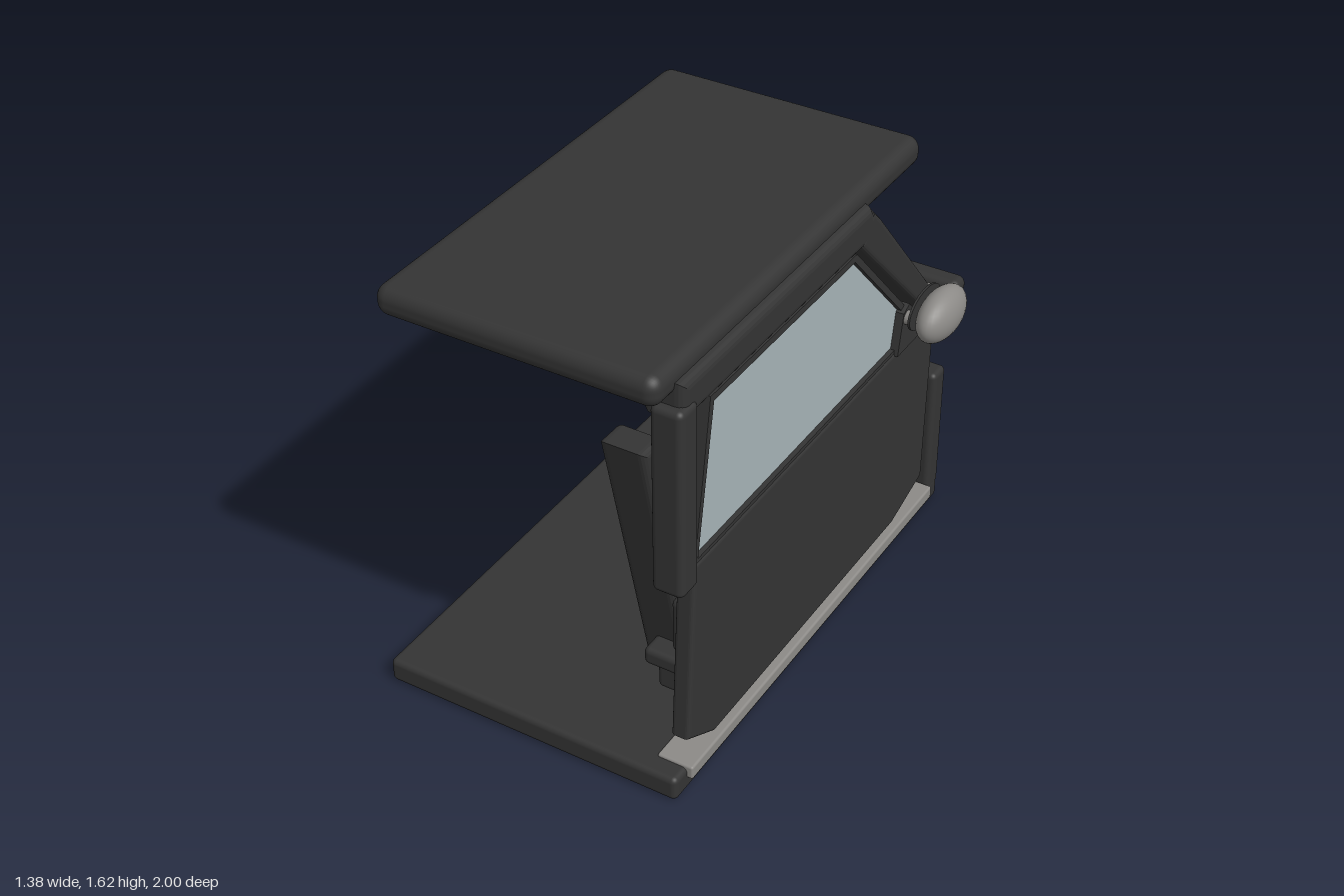
import * as THREE from 'three';
import { RoundedBoxGeometry } from 'three/addons/geometries/RoundedBoxGeometry.js';

const material = (name, color) => {
  const m = new THREE.MeshStandardMaterial({ color });
  m.name = name;
  return m;
};

export function createModel() {
  const model = new THREE.Group();
  const dark = material('dark plastic', 0x343434);
  const grey = material('grey trim', 0x8c8a87);
  const glass = material('window glass', 0xa6b3b7);
  glass.side = THREE.DoubleSide;

  const add = (name, geometry, mat) => {
    const mesh = new THREE.Mesh(geometry, mat);
    mesh.name = name;
    model.add(mesh);
    return mesh;
  };

  // Rounded box given by its limits on each axis
  const box = (name, mat, [x0, x1], [y0, y1], [z0, z1], r = 0.02) => {
    const w = x1 - x0, h = y1 - y0, d = z1 - z0;
    const mesh = add(name, new RoundedBoxGeometry(w, h, d, 4, Math.min(r, w / 2.01, h / 2.01, d / 2.01)), mat);
    mesh.position.set((x0 + x1) / 2, (y0 + y1) / 2, (z0 + z1) / 2);
    return mesh;
  };

  const toShape = (points) => new THREE.Shape(points.map(([a, b]) => new THREE.Vector2(a, b)));

  const extrude = (shape, width, bevel) => new THREE.ExtrudeGeometry(shape, {
    depth: width - 2 * bevel, bevelEnabled: bevel > 0, bevelSize: bevel,
    bevelThickness: bevel, bevelOffset: -bevel, bevelSegments: 4, curveSegments: 32,
  }).translate(0, 0, bevel);

  // Side outline in (z, y), extruded from x0 to x1
  const side = (name, mat, points, x0, x1, bevel = 0, hole = null) => {
    const shape = toShape(points);
    if (hole) shape.holes.push(toShape(hole));
    return add(name, extrude(shape, x1 - x0, bevel).rotateY(-Math.PI / 2).translate(x1, 0, 0), mat);
  };

  // Straight round rod between two points
  const rod = (name, mat, from, to, radius) => {
    const a = new THREE.Vector3(...from), b = new THREE.Vector3(...to);
    return add(name, new THREE.TubeGeometry(new THREE.LineCurve3(a, b), 1, radius, 16), mat);
  };

  // Floor, firewall, sill and roof
  box('floor', dark, [-0.62, 0.49], [0, 0.09], [-0.89, 0.96]);
  box('firewall', dark, [-0.62, 0.49], [0.06, 0.575], [-0.895, -0.805]);
  box('sillTrim', grey, [0.38, 0.51], [0.05, 0.1], [-0.8, 0.89], 0.008);
  box('roof', dark, [-0.515, 0.46], [1.51, 1.615], [-0.645, 1], 0.045);

  // Dashboard with a round vent opening
  const ventX = 0.3, ventY = 0.66;
  const dashShape = toShape([[-0.665, 0.48], [0.475, 0.48], [0.475, 0.84], [-0.665, 0.84]]);
  dashShape.holes.push(new THREE.Path().absarc(ventX, ventY, 0.09, 0, Math.PI * 2, true));
  add('dashboard', extrude(dashShape, 0.265, 0.015).translate(0, 0, -0.77), dark);
  add('ventCore', new THREE.CylinderGeometry(0.11, 0.11, 0.1, 32).rotateX(Math.PI / 2), dark)
    .position.set(ventX, ventY, -0.58);
  add('ventRing', new THREE.TorusGeometry(0.1, 0.014, 12, 40), grey).position.set(ventX, ventY, -0.503);
  box('dashTop', grey, [-0.67, 0.49], [0.825, 0.9], [-0.995, -0.505], 0.035);
  box('windscreenBar', dark, [-0.695, 0.515], [0.86, 0.925], [-0.965, -0.88], 0.03);
  box('kneePanel', dark, [-0.655, 0.43], [0.345, 0.48], [-0.79, -0.58], 0.03);

  // Door skin
  side('door', dark, [[0.84, 0.875], [-0.725, 0.875], [-0.765, 0.83], [-0.745, 0.18],
    [-0.52, 0.11], [0.72, 0.11], [0.88, 0.2]], 0.425, 0.49, 0.014);

  // Inner door ledges, armrest and pocket
  box('doorTopLedge', dark, [0.37, 0.44], [0.74, 0.86], [-0.5, 0.8]);
  box('doorPad', dark, [0.365, 0.44], [0.44, 0.645], [-0.5, 0.78]);
  box('armrest', dark, [0.255, 0.44], [0.33, 0.395], [-0.3, 0.77]);
  box('doorPocket', dark, [0.25, 0.44], [0.16, 0.29], [-0.45, 0.68]);

  // Window frame and pane
  side('windowFrame', dark, [[0.835, 0.865], [0.745, 1.43], [-0.15, 1.43], [-0.68, 0.865]], 0.44, 0.485, 0,
    [[0.815, 0.885], [0.725, 1.405], [-0.14, 1.405], [-0.63, 0.885]]);
  side('windowPane', glass, [[0.82, 0.88], [0.73, 1.41], [-0.135, 1.41], [-0.635, 0.88]], 0.46, 0.468);

  // Roof rail and pillars
  side('roofRail', dark, [[0.9, 1.43], [0.9, 1.56], [-0.24, 1.56], [-0.29, 1.49], [-0.24, 1.425],
    [0.86, 1.425]], 0.35, 0.49, 0.03);
  side('frontPillar', dark, [[-0.17, 1.44], [-0.25, 1.54], [-0.31, 1.48], [-0.845, 0.86], [-0.745, 0.86]],
    0.35, 0.49, 0.02);
  box('rearPillar', dark, [0.39, 0.5], [0.805, 1.48], [0.83, 0.93], 0.022);

  // Leaning narrow seat back
  side('seatBack', dark, [[0.57, 0.29], [0.67, 0.29], [0.905, 1.27], [0.805, 1.27]], 0.2, 0.36, 0.025);

  // Wing mirror
  side('mirrorBase', dark, [[-0.46, 0.865], [-0.69, 0.865], [-0.53, 1.04], [-0.49, 1.02]], 0.47, 0.5, 0);
  rod('mirrorArm', grey, [0.48, 0.99, -0.515], [0.6, 1.015, -0.515], 0.025);
  const shell = add('mirrorShell', new THREE.SphereGeometry(1, 32, 20), grey);
  shell.scale.set(0.065, 0.088, 0.14);
  shell.position.set(0.625, 1.055, -0.51);
  const face = add('mirrorGlass', new THREE.CylinderGeometry(1, 1, 0.008, 32).rotateZ(Math.PI / 2), dark);
  face.scale.set(1, 0.07, 0.115);
  face.position.set(0.562, 1.06, -0.51);

  // Sun visor
  const visor = box('sunVisor', grey, [-0.195, 0.355], [1.402, 1.453], [-0.46, -0.25], 0.022);
  visor.rotation.x = -0.22;
  rod('visorHanger', grey, [-0.15, 1.42, -0.4], [-0.15, 1.53, -0.4], 0.011);

  // Rear view mirror
  rod('cabinMirrorStalk', dark, [-0.42, 1.53, -0.565], [-0.42, 1.33, -0.64], 0.015);
  const cabin = new THREE.Group();
  cabin.name = 'cabinMirror';
  cabin.position.set(-0.445, 1.313, -0.633);
  cabin.rotation.x = 0.06;
  const shellBox = new THREE.Mesh(new RoundedBoxGeometry(0.28, 0.115, 0.05, 4, 0.02), dark);
  shellBox.name = 'cabinMirrorShell';
  const plate = new THREE.Mesh(new THREE.BoxGeometry(0.25, 0.085, 0.006), dark);
  plate.name = 'cabinMirrorFace';
  plate.position.z = 0.026;
  cabin.add(shellBox, plate);
  model.add(cabin);

  return model;
}
